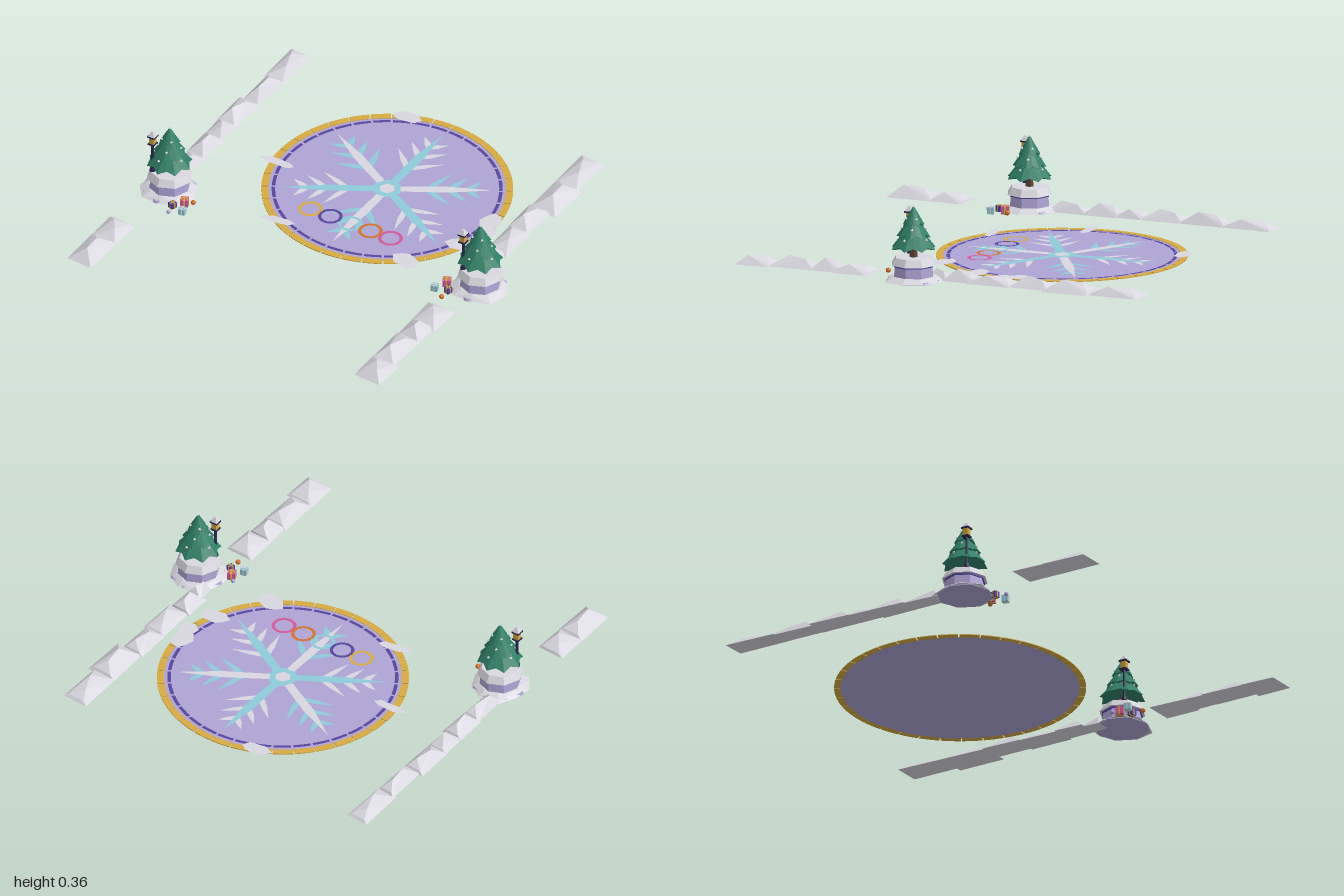
import * as THREE from 'three';
import { ConvexGeometry } from 'three/addons/geometries/ConvexGeometry.js';

const mat = (name, color) => {
  const m = new THREE.MeshStandardMaterial({ color, flatShading: true });
  m.name = name;
  return m;
};
const snow = mat('snow', 0xd8d6de), lavender = mat('lavender', 0xaea4d4), gold = mat('gold', 0xd6aa40),
  purple = mat('purple', 0x56449e), cyan = mat('cyan', 0x8ccbd8), orange = mat('orange', 0xd4702c),
  pink = mat('pink', 0xd6559a), green = mat('green', 0x2f7f66), brown = mat('brown', 0x5c4234),
  dark = mat('dark', 0x2c2850);

function add(parent, name, geo, material, x = 0, y = 0, z = 0) {
  const m = new THREE.Mesh(geo, material);
  m.name = name;
  m.position.set(x, y, z);
  parent.add(m);
  return m;
}
function group(parent, name, x = 0, y = 0, z = 0) {
  const g = new THREE.Group();
  g.name = name;
  g.position.set(x, y, z);
  parent.add(g);
  return g;
}
const cyl = (rt, rb, h, n = 8) => new THREE.CylinderGeometry(rt, rb, h, n);
const box = (w, h, d) => new THREE.BoxGeometry(w, h, d);

// Flat upward-facing plate from outline points (u right, v towards -z)
const plate = pts => new THREE.ShapeGeometry(
  new THREE.Shape(pts.map(p => new THREE.Vector2(...p)))).rotateX(-Math.PI / 2);
const flatRing = (r0, r1, n = 24, start = 0, len = Math.PI * 2) =>
  new THREE.RingGeometry(r0, r1, n, 1, start, len).rotateX(-Math.PI / 2);

// Curved paving brick
function brick(r0, r1, len, h) {
  const s = new THREE.Shape();
  s.absarc(0, 0, r1, 0, len, false);
  s.absarc(0, 0, r0, len, 0, true);
  return new THREE.ExtrudeGeometry(s, { depth: h, bevelEnabled: false, curveSegments: 3 }).rotateX(-Math.PI / 2);
}

// Ice rink with rim, snowflake and rings
function buildRink(root) {
  const rink = group(root, 'rink', 0.047, 0, -0.307);
  add(rink, 'iceDisc', cyl(0.55, 0.55, 0.002, 64), lavender, 0, 0.001, 0);
  const n = 36, step = Math.PI * 2 / n;
  const brickGeo = brick(0.545, 0.578, step * 0.94, 0.004);
  const dashGeo = flatRing(0.514, 0.53, 3, 0, step * 0.88);
  for (let i = 0; i < n; i++) {
    add(rink, 'rimBrick', brickGeo, gold).rotation.y = i * step;
    add(rink, 'innerDash', dashGeo, purple, 0, 0.003, 0).rotation.y = i * step;
  }
  // Snowflake arms alternate between the two colours
  const spine = plate([[0.02, 0.05], [0.023, 0.28], [0.014, 0.36], [0, 0.485], [-0.014, 0.36], [-0.023, 0.28], [-0.02, 0.05]]);
  const flake = group(rink, 'snowflake');
  for (let k = 0; k < 6; k++) {
    const arm = group(flake, 'snowflakeArm');
    arm.rotation.y = k * Math.PI / 3;
    const [a, b] = k % 2 ? [snow, cyan] : [cyan, snow];
    add(arm, 'armSpine', spine, a, 0, 0.0038, 0);
    for (const [r, L] of [[0.18, 0.17], [0.28, 0.13], [0.37, 0.09]])
      for (const side of [-1, 1]) {
        const tip = plate([[0.014, 0], [0.014, L * 0.45], [0, L], [-0.014, L * 0.45], [-0.014, 0]]);
        add(arm, 'armBranch', tip, b, 0, 0.003, -r).rotation.y = side * 0.82;
      }
  }
  add(flake, 'hub', flatRing(0, 0.07, 6), cyan, 0, 0.0045, 0);
  add(flake, 'hubCentre', flatRing(0, 0.038, 6), snow, 0, 0.0052, 0);
  [gold, purple, cyan, orange, pink].forEach((m, i) =>
    add(rink, 'floorRing', flatRing(0.042, 0.057), m, -0.217 + i * 0.108, 0.0055, 0.32));
}

// Thin drifts lying over the rim: x, z, width, depth, turn
function buildDrifts(root) {
  const drifts = [[-0.165, -0.822, 0.15, 0.075, 0.1], [-0.49, -0.215, 0.18, 0.05, 0], [-0.255, 0.168, 0.18, 0.05, 0.15],
    [0.41, 0.125, 0.15, 0.1, -0.3], [0.56, -0.11, 0.15, 0.09, 0.1], [0.585, -0.335, 0.1, 0.13, 0], [0.61, -0.26, 0.1, 0.1, 0.2]];
  for (const [x, z, w, d, turn] of drifts) {
    const geo = plate([[0.5, 0.05], [0.3, 0.42], [-0.15, 0.5], [-0.35, 0.25], [-0.5, -0.1], [-0.2, -0.45], [0.35, -0.4]]
      .map(([u, v]) => [u * w, v * d]));
    add(root, 'snowDrift', geo, snow, x, 0.007, z).rotation.y = turn;
  }
}

// Row of hipped snow lumps between successive z values
function buildBank(root, name, zs, spans) {
  const bank = group(root, name);
  spans.forEach(([x0, x1], i) => {
    const z0 = zs[i], z1 = zs[i + 1], d = z1 - z0, w = x1 - x0;
    const more = i < spans.length - 1 ? 0.025 : 0;
    const h = 0.047 + 0.007 * ((i * 2) % 3 - 1);
    const lean = 0.5 + 0.13 * ((i % 3) - 1);
    const p = [[x0, 0, z0], [x1, 0, z0 + 0.012], [x0 + 0.004, 0, z1 + more - 0.01], [x1 - 0.004, 0, z1 + more],
      [x0 + w * lean, h * 0.85, z0 + d * 0.3], [x0 + w * (1.05 - lean), h, z0 + d * 0.72],
      [x0 + w * 0.2, h * 0.3, z0 + d * 0.06], [x1 - w * 0.15, h * 0.3, z0 + d * 0.1]];
    add(bank, 'snowLump', new ConvexGeometry(p.map(q => new THREE.Vector3(...q))), snow);
  });
}

// Star-edged cone: every second lower corner is pulled in and up
function starCone(r, h) {
  const geo = new THREE.CylinderGeometry(0.004, r, h, 16, 1);
  const p = geo.attributes.position;
  for (let i = 0; i < p.count; i++) {
    const x = p.getX(i), z = p.getZ(i);
    if (p.getY(i) > 0 || Math.hypot(x, z) < r * 0.5) continue;
    const k = Math.round(Math.atan2(x, z) / (Math.PI / 8));
    if (k % 2) p.setXYZ(i, x * 0.84, p.getY(i) + 0.014, z * 0.84);
  }
  const out = geo.toNonIndexed();
  out.computeVertexNormals();
  return out;
}

function buildPlanter(root, name, x, z) {
  const g = group(root, name, x, 0, z);
  add(g, 'base', cyl(0.125, 0.13, 0.01), lavender, 0, 0.005, 0);
  // Uneven snow skirt
  const skirt = [];
  for (let i = 0; i < 9; i++) {
    const a = i / 9 * Math.PI * 2, r = 0.138 + 0.012 * Math.sin(i * 2.3);
    skirt.push(new THREE.Vector3(Math.cos(a) * r, 0.003, Math.sin(a) * r),
      new THREE.Vector3(Math.cos(a) * 0.1, 0.024, Math.sin(a) * 0.1));
  }
  add(g, 'snowSkirt', new ConvexGeometry(skirt), snow);
  add(g, 'planterWall', cyl(0.09, 0.097, 0.06), lavender, 0, 0.05, 0);
  add(g, 'planterTrim', cyl(0.097, 0.097, 0.008), purple, 0, 0.073, 0);
  add(g, 'planterSnow', cyl(0.088, 0.108, 0.034), snow, 0, 0.094, 0);
  // Tree
  const tree = group(g, 'tree');
  add(tree, 'trunk', cyl(0.016, 0.02, 0.07, 6), brown, 0, 0.14, 0);
  for (const [y, r, h, turn] of [[0.15, 0.108, 0.13, 0], [0.205, 0.08, 0.11, 0.2], [0.26, 0.052, 0.085, 0]]) {
    add(tree, 'foliage', starCone(r, h), green, 0, y + h / 2, 0).rotation.y = turn;
    for (let i = 0; i < 4; i++) {
      const a = i * Math.PI / 2 + y * 9;
      add(tree, 'snowFleck', new THREE.OctahedronGeometry(0.008), snow,
        Math.sin(a) * r * 0.68, y + h * 0.36, Math.cos(a) * r * 0.68);
    }
  }
  add(tree, 'treeSnowTip', cyl(0, 0.017, 0.035), snow, 0, 0.336, 0);
  // Lamp
  const lamp = group(g, 'lamp', -0.063, 0, 0.047);
  add(lamp, 'lampFoot', cyl(0.012, 0.014, 0.02, 6), dark, 0, 0.118, 0);
  add(lamp, 'lampPost', cyl(0.007, 0.007, 0.16, 6), dark, 0, 0.19, 0);
  add(lamp, 'lampTray', box(0.034, 0.007, 0.034), dark, 0, 0.265, 0);
  add(lamp, 'lampGlass', box(0.026, 0.036, 0.026), gold, 0, 0.286, 0);
  add(lamp, 'lampEave', box(0.038, 0.007, 0.038), dark, 0, 0.306, 0);
  add(lamp, 'lampSnow', cyl(0.006, 0.025, 0.024, 4), snow, 0, 0.321, 0).rotation.y = Math.PI / 4;
}

function buildGift(parent, x, z, s, wrap, ribbon, turn) {
  const g = group(parent, 'gift', x, 0, z);
  g.rotation.y = turn;
  add(g, 'giftBox', box(s, s, s), wrap, 0, s / 2, 0);
  add(g, 'giftRibbon', box(s * 0.22, s + 0.003, s + 0.003), ribbon, 0, s / 2, 0);
  add(g, 'giftRibbon', box(s + 0.003, s + 0.003, s * 0.22), ribbon, 0, s / 2, 0);
  for (const side of [-1, 1])
    add(g, 'giftBow', box(s * 0.26, s * 0.16, s * 0.2), ribbon, side * s * 0.15, s * 1.08, 0).rotation.z = side * 0.4;
}
function buildGifts(root, name, gifts, balls) {
  const g = group(root, name);
  for (const a of gifts) buildGift(g, ...a);
  for (const [x, z, r, m] of balls) add(g, 'bauble', new THREE.IcosahedronGeometry(r, 1), m, x, r, z);
}

export function createModel() {
  const root = new THREE.Group();
  root.name = 'winterRink';
  buildRink(root);
  buildDrifts(root);
  buildBank(root, 'bankRightBack', [-1, -0.765, -0.555, -0.36, -0.235, -0.075, 0.13],
    [[-0.897, -0.785], [-0.885, -0.79], [-0.903, -0.79], [-0.895, -0.792], [-0.893, -0.785], [-0.88, -0.79]]);
  buildBank(root, 'bankRightFront', [0.54, 0.695, 0.925], [[-0.925, -0.785], [-0.925, -0.787]]);
  buildBank(root, 'bankLeftBack', [-1, -0.77, -0.55, -0.37, -0.17, -0.04, 0.06],
    [[0.667, 0.797], [0.67, 0.82], [0.665, 0.782], [0.672, 0.79], [0.665, 0.775], [0.69, 0.77]]);
  buildBank(root, 'bankLeftFront', [0.335, 0.495, 0.61, 0.82, 1],
    [[0.667, 0.812], [0.672, 0.797], [0.667, 0.797], [0.667, 0.815]]);
  buildPlanter(root, 'planterRight', -0.803, 0.215);
  buildPlanter(root, 'planterLeft', 0.807, 0.11);
  buildGifts(root, 'giftsRight',
    [[-0.68, 0.285, 0.036, pink, gold, 0.4], [-0.655, 0.345, 0.03, cyan, snow, 0.2], [-0.718, 0.328, 0.028, purple, gold, -0.3]],
    [[-0.648, 0.26, 0.012, orange], [-0.708, 0.38, 0.01, lavender]]);
  buildGifts(root, 'giftsLeft',
    [[0.668, 0.178, 0.036, pink, gold, 0.4], [0.64, 0.237, 0.03, cyan, snow, 0.2], [0.703, 0.222, 0.028, purple, gold, -0.3]],
    [[0.703, 0.28, 0.012, orange], [0.643, 0.152, 0.01, lavender]]);
  return root;
}
